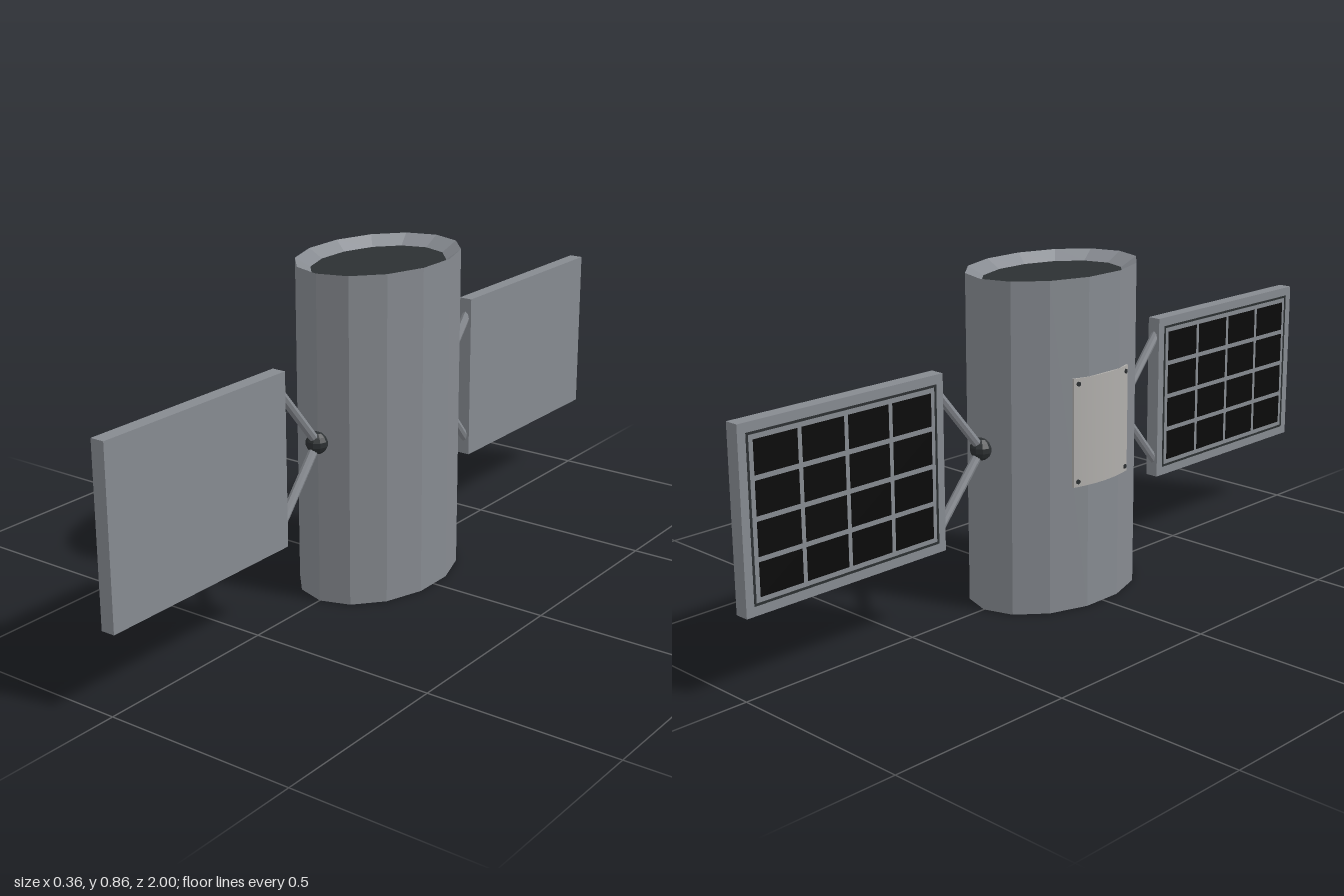
import * as THREE from 'three';
import { toCreasedNormals } from 'three/addons/utils/BufferGeometryUtils.js';

const mat = (color) => new THREE.MeshStandardMaterial({ color, flatShading: true });

const H = 0.855, A = 0.18, B = 0.255, SIDES = 14, MID = 0.428, RECESS = 0.025;

export function createModel() {
  const model = new THREE.Group();
  const hull = mat(0x868a90), dark = mat(0x2c3032), cellMat = mat(0x0a0a0a);
  const plateMat = new THREE.MeshStandardMaterial({ color: 0xb0aeab });

  const add = (parent, name, geometry, material, x = 0, y = 0, z = 0) => {
    const mesh = new THREE.Mesh(geometry, material);
    mesh.name = name;
    mesh.position.set(x, y, z);
    parent.add(mesh);
    return mesh;
  };

  // Oval faceted body with a sloping rim at both ends
  const profile = [[0.87, RECESS], [1, 0], [1, H], [0.82, H - RECESS]]
    .map(([r, y]) => new THREE.Vector2(r, y));
  add(model, 'body', new THREE.LatheGeometry(profile, SIDES).scale(A, 1, B), hull);

  // Dark discs closing the recessed ends
  const disc = (r) => new THREE.CylinderGeometry(r, r, 0.004, SIDES).scale(A, 1, B);
  add(model, 'topDisc', disc(0.82), dark, 0, H - RECESS - 0.002, 0);
  add(model, 'bottomDisc', disc(0.87), dark, 0, RECESS + 0.002, 0);

  // Curved access plate wrapped on the right flank
  const arcX = (z, a) => -a * Math.sqrt(1 - (z / 0.257) ** 2);
  const outline = [];
  const steps = 12, halfWidth = 0.1;
  for (let i = 0; i <= steps; i++) {
    const z = -halfWidth + (2 * halfWidth * i) / steps;
    outline.push(new THREE.Vector2(arcX(z, 0.181), z));
  }
  for (let i = steps; i >= 0; i--) {
    const z = -halfWidth + (2 * halfWidth * i) / steps;
    outline.push(new THREE.Vector2(arcX(z, 0.172), z));
  }
  const plate = new THREE.ExtrudeGeometry(new THREE.Shape(outline), { depth: 0.28, bevelEnabled: false });
  plate.rotateX(-Math.PI / 2);
  add(model, 'accessPlate', toCreasedNormals(plate, 0.5), plateMat, 0, 0.326, 0);

  // Plate screws in the four corners
  for (const y of [0.34, 0.592]) {
    for (const z of [-0.088, 0.088]) {
      const screw = add(model, 'screw', new THREE.CylinderGeometry(0.006, 0.006, 0.006, 8), dark, arcX(z, 0.181), y, z);
      screw.rotation.set(0, Math.sign(z) * 0.27, Math.PI / 2, 'YXZ');
    }
  }

  // Two solar wings, front and back
  for (const s of [1, -1]) {
    const wing = new THREE.Group();
    wing.name = s > 0 ? 'frontWing' : 'backWing';
    model.add(wing);

    add(wing, 'joint', new THREE.SphereGeometry(0.029, 10, 7), dark, 0, MID, s * 0.258);

    // Struts fanning out from the joint to the panel
    for (const dy of [1, -1]) {
      const from = new THREE.Vector3(0, MID, s * 0.258);
      const to = new THREE.Vector3(0, MID + dy * 0.18, s * 0.41);
      const dir = to.clone().sub(from);
      const strut = add(wing, 'strut', new THREE.CylinderGeometry(0.012, 0.012, dir.length(), 8), hull);
      strut.position.copy(from).add(to).multiplyScalar(0.5);
      strut.quaternion.setFromUnitVectors(new THREE.Vector3(0, 1, 0), dir.normalize());
    }

    add(wing, 'panel', new THREE.BoxGeometry(0.037, 0.447, 0.6), hull, 0, MID, s * 0.7);

    // Four by four grid of cells on the right-hand face
    const pitchY = 0.094, pitchZ = 0.133, gap = 0.013;
    const cell = new THREE.BoxGeometry(0.004, pitchY - gap, pitchZ - gap);
    for (let r = 0; r < 4; r++) {
      for (let c = 0; c < 4; c++) {
        add(wing, 'cell', cell, cellMat, -0.0185, MID + (r - 1.5) * pitchY, s * 0.7 + (c - 1.5) * pitchZ);
      }
    }

    // Slim raised border around the cells
    for (const k of [1, -1]) {
      add(wing, 'border', new THREE.BoxGeometry(0.004, 0.006, 0.556), dark, -0.0175, MID + k * 0.197, s * 0.7);
      add(wing, 'border', new THREE.BoxGeometry(0.004, 0.4, 0.006), dark, -0.0175, MID, s * 0.7 + k * 0.275);
    }
  }
  return model;
}
